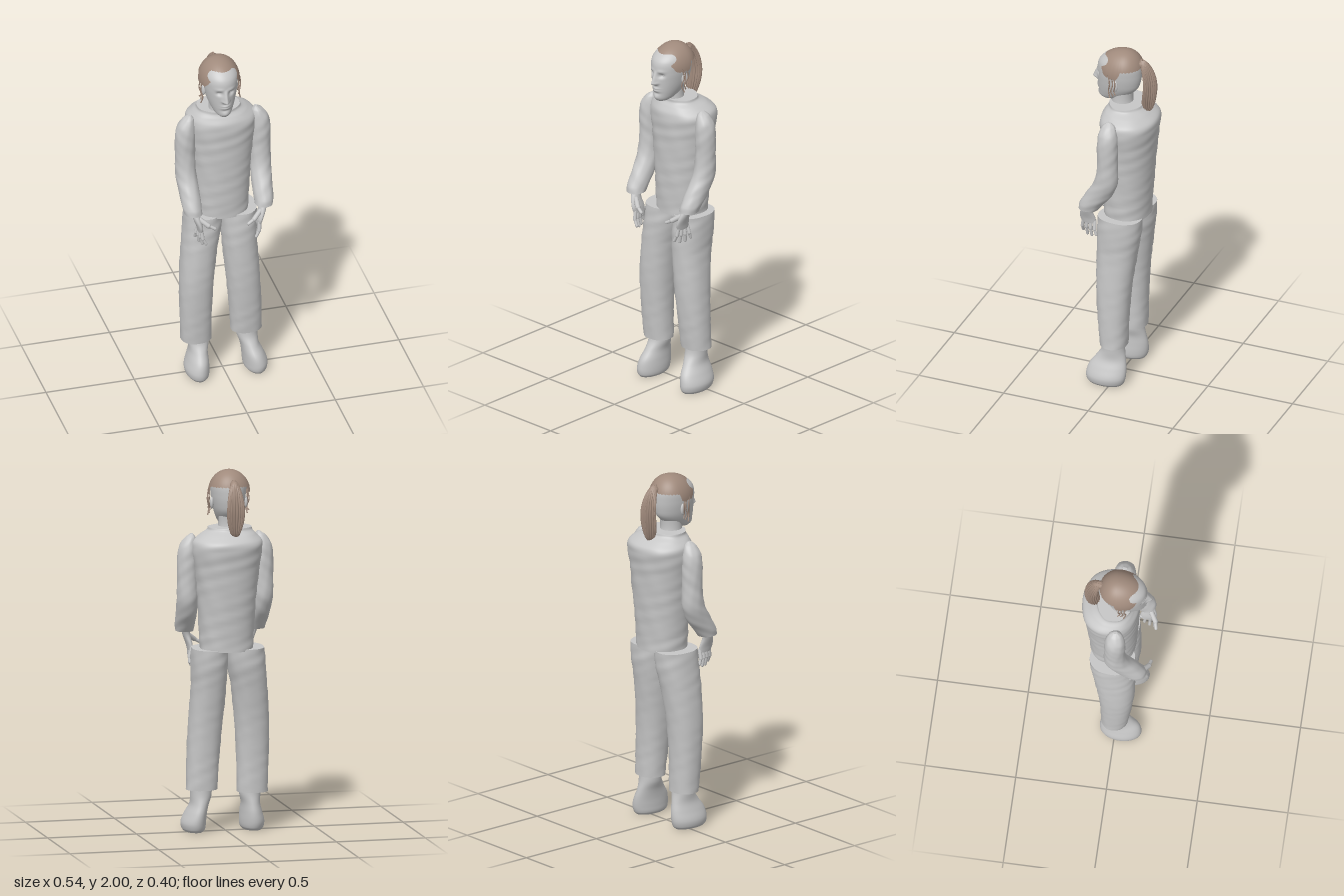
import * as THREE from 'three';

const grey = new THREE.MeshStandardMaterial({ color: 0xc6c6c6 });
grey.name = 'plain grey';
const brown = new THREE.MeshStandardMaterial({ color: 0xa08a7c, side: THREE.DoubleSide });
brown.name = 'hair brown';

// smooth value of column c between rows k and k+1 of a section list
function blend(rows, k, f, c) {
  const slope = (i) => {
    const a = rows[Math.max(i - 1, 0)], b = rows[Math.min(i + 1, rows.length - 1)];
    return (b[c] - a[c]) / (b[0] - a[0]);
  };
  const h = rows[k + 1][0] - rows[k][0], f2 = f * f, f3 = f2 * f;
  return (2 * f3 - 3 * f2 + 1) * rows[k][c] + (f3 - 2 * f2 + f) * h * slope(k)
    + (3 * f2 - 2 * f3) * rows[k + 1][c] + (f3 - f2) * h * slope(k + 1);
}

// closed body through horizontal oval sections [y, cx, cz, rx, rz], bottom to top
function loft(rows, { seg = 36, sub = 6, power = 1, shape = null } = {}) {
  const pos = [], idx = [], v = new THREE.Vector3();
  const ring = (k, f) => {
    const y = rows[k][0] + (rows[k + 1][0] - rows[k][0]) * f;
    const [cx, cz, rx, rz] = [1, 2, 3, 4].map((c) => blend(rows, k, f, c));
    for (let i = 0; i < seg; i++) {
      const a = (i / seg) * Math.PI * 2, s = Math.sin(a), c = Math.cos(a);
      v.set(cx + Math.max(rx, 0.0005) * Math.sign(s) * Math.abs(s) ** power, y,
        cz + Math.max(rz, 0.0005) * Math.sign(c) * Math.abs(c) ** power);
      if (shape) shape(v, a);
      pos.push(v.x, v.y, v.z);
    }
  };
  for (let k = 0; k < rows.length - 1; k++) for (let s = 0; s < sub; s++) ring(k, s / sub);
  ring(rows.length - 2, 1);
  const count = (rows.length - 1) * sub;
  for (let j = 0; j < count; j++) for (let i = 0; i < seg; i++) {
    const a = j * seg + i, b = j * seg + (i + 1) % seg;
    idx.push(a, b, b + seg, a, b + seg, a + seg);
  }
  // flat end caps on their own vertices
  for (const top of [false, true]) {
    const base = pos.length / 3, from = (top ? count : 0) * seg * 3;
    pos.push(...pos.slice(from, from + seg * 3));
    const r = rows[top ? rows.length - 1 : 0];
    pos.push(r[1], r[0], r[2]);
    for (let i = 0; i < seg; i++) {
      const a = base + i, b = base + (i + 1) % seg;
      idx.push(base + seg, top ? a : b, top ? b : a);
    }
  }
  return finish(pos, idx);
}

function finish(pos, idx) {
  const g = new THREE.BufferGeometry();
  g.setAttribute('position', new THREE.Float32BufferAttribute(pos, 3));
  g.setIndex(idx);
  g.computeVertexNormals();
  return g;
}

function add(parent, name, geometry, material = grey) {
  const m = new THREE.Mesh(geometry, material);
  m.name = name;
  parent.add(m);
  return m;
}

// rounded rod between two points
function rod(parent, name, a, b, r) {
  const p = new THREE.Vector3(...a), q = new THREE.Vector3(...b), d = q.clone().sub(p);
  const m = add(parent, name, new THREE.CapsuleGeometry(r, d.length(), 5, 10));
  m.position.copy(p).add(q).multiplyScalar(0.5);
  m.quaternion.setFromUnitVectors(new THREE.Vector3(0, 1, 0), d.normalize());
}

// soft cloth dents
const cloth = (size) => (v, a) => {
  const n = Math.sin(v.y * 47 + a * 3) * Math.sin(a * 5 - v.y * 21) + 0.5 * Math.sin(v.y * 90 - a * 4);
  v.x += Math.sin(a) * n * size;
  v.z += Math.cos(a) * n * size;
};

// facial relief pushed out of the front of the head
const bump = (d, w) => Math.exp(-((d / w) ** 2));
function face(v, a) {
  if (Math.cos(a) < 0.2) return;
  const x = Math.abs(v.x), y = v.y;
  const nose = y < 1.803 ? bump(y - 1.803, 0.011) : Math.max(0, 1 - (y - 1.803) / 0.07);
  v.z += 0.034 * nose * bump(x, 0.010 + 0.006 * nose)
    + 0.006 * bump(x - 0.015, 0.007) * bump(y - 1.8, 0.009)
    - 0.015 * bump(x - 0.033, 0.016) * bump(y - 1.848, 0.012)
    + 0.005 * bump(x - 0.033, 0.022) * bump(y - 1.872, 0.008)
    + 0.008 * bump(x, 0.022) * (bump(y - 1.769, 0.005) + bump(y - 1.755, 0.006))
    - 0.005 * bump(x, 0.025) * bump(y - 1.738, 0.007)
    + 0.005 * bump(x, 0.02) * bump(y - 1.715, 0.012);
}

// scalp hair: dome whose lower edge follows a hairline [angle, polar angle]
function hairCap() {
  const line = [[0, 46], [25, 52], [42, 72], [58, 91], [88, 92], [98, 71], [180, 70]];
  const edge = (deg) => {
    const k = Math.max(1, line.findIndex((p) => p[0] >= deg));
    const [a, b] = [line[k - 1], line[k]];
    return a[1] + (b[1] - a[1]) * (deg - a[0]) / (b[0] - a[0]);
  };
  const pos = [], idx = [], seg = 96, n = 20;
  for (let j = 0; j <= n; j++) for (let i = 0; i < seg; i++) {
    const a = (i / seg) * Math.PI * 2, deg = Math.min(i, seg - i) * 360 / seg;
    const p = (edge(Math.min(deg, 180)) + 1.5 * Math.sin(i * 2.3)) * Math.PI / 180 * (0.002 + 0.998 * (1 - j / n));
    const rz = Math.cos(a) > 0 ? 0.155 : 0.11, s = Math.sin(p);
    pos.push(0.115 * s * Math.sin(a), 1.87 + 0.13 * Math.cos(p), rz * s * Math.cos(a));
    if (j < n) {
      const q = j * seg + i, r = j * seg + (i + 1) % seg;
      idx.push(q, r, r + seg, q, r + seg, q + seg);
    }
  }
  return finish(pos, idx);
}

function buildHead() {
  const head = new THREE.Group();
  head.name = 'head';
  head.position.x = -0.023;
  add(head, 'neck', loft([[1.64, 0, 0.01, 0.066, 0.066], [1.7, 0, 0.015, 0.058, 0.06], [1.78, 0, 0.01, 0.058, 0.062]]));
  add(head, 'skull and face', loft([
    [1.69, 0, 0.095, 0.028, 0.04], [1.703, 0, 0.082, 0.044, 0.066], [1.73, 0, 0.06, 0.06, 0.092],
    [1.77, 0, 0.04, 0.076, 0.114], [1.81, 0, 0.033, 0.086, 0.122], [1.86, 0, 0.03, 0.094, 0.126],
    [1.92, 0, 0.027, 0.096, 0.121], [1.96, 0, 0.019, 0.077, 0.093], [1.983, 0, 0.012, 0.045, 0.053],
    [1.992, 0, 0.01, 0.002, 0.002]], { seg: 112, sub: 9, shape: face }));
  add(head, 'hair', hairCap(), brown);
  for (const s of [-1, 1]) {
    const eye = add(head, 'eye', new THREE.SphereGeometry(0.011, 16, 10));
    eye.position.set(s * 0.032, 1.848, 0.126);
    eye.scale.set(1.2, 0.7, 0.8);
    const ear = add(head, 'ear', new THREE.SphereGeometry(1, 18, 14));
    ear.position.set(s * 0.093, 1.815, 0.022);
    ear.scale.set(0.011, 0.034, 0.02);
    ear.rotation.y = -s * 0.35;
    // loose locks beside the ears
    for (let i = 0; i < 3; i++) {
      const z = 0.055 - i * 0.016, w = 0.006 * (i % 2);
      const lock = new THREE.CatmullRomCurve3([[0.106, 1.885, z], [0.113 - w, 1.83, z - 0.01],
        [0.103 + w, 1.785, z], [0.112 - w, 1.745 + i * 0.012, z - 0.012]]
        .map((p) => new THREE.Vector3(s * p[0], p[1], p[2])));
      add(head, 'lock', new THREE.TubeGeometry(lock, 16, 0.0035, 6), brown);
    }
  }
  // ponytail with combed ridges
  const ridges = (v, a) => {
    const k = 1 + 0.09 * Math.cos(a * 18);
    v.x *= k;
    v.z = -0.135 + (v.z + 0.135) * k;
  };
  add(head, 'ponytail', loft([[1.632, 0, -0.122, 0.01, 0.014], [1.67, 0, -0.133, 0.026, 0.03],
    [1.74, 0, -0.143, 0.043, 0.035], [1.81, 0, -0.148, 0.045, 0.034], [1.88, 0, -0.137, 0.036, 0.032],
    [1.935, 0, -0.118, 0.021, 0.024], [1.958, 0, -0.104, 0.008, 0.012]],
    { seg: 108, sub: 5, shape: ridges }), brown);
  const knot = add(head, 'hair tie', new THREE.SphereGeometry(0.022, 16, 12), brown);
  knot.position.set(0, 1.93, -0.1);
  return head;
}

function buildArm() {
  const arm = new THREE.Group();
  add(arm, 'sleeve', loft([[1.095, 0.2, 0.122, 0.05, 0.056], [1.13, 0.203, 0.105, 0.053, 0.066],
    [1.2, 0.206, 0.058, 0.056, 0.074], [1.29, 0.212, 0.014, 0.057, 0.066], [1.4, 0.213, 0.005, 0.055, 0.057],
    [1.5, 0.213, 0.006, 0.056, 0.058], [1.58, 0.209, 0.006, 0.05, 0.053], [1.63, 0.196, 0.006, 0.03, 0.036],
    [1.652, 0.188, 0.006, 0.008, 0.012]], { shape: cloth(0.0012) }));
  add(arm, 'palm', loft([[0.985, 0.165, 0.133, 0.014, 0.042], [1.02, 0.17, 0.14, 0.017, 0.045],
    [1.07, 0.185, 0.14, 0.021, 0.034], [1.12, 0.196, 0.122, 0.023, 0.028]], { seg: 24 }));
  for (let i = 0; i < 4; i++) {
    const z = 0.166 - i * 0.022, tip = 0.177 - i * 0.03, y = 0.905 + 0.007 * (i - 1.4) ** 2;
    const mid = [0.16 + i * 0.006, 0.952, (z + tip) / 2 + 0.003];
    rod(arm, 'finger', [0.165, 0.997, z], mid, 0.0105);
    rod(arm, 'fingertip', mid, [0.143 + i * 0.012, y, tip], 0.0085);
  }
  rod(arm, 'thumb base', [0.17, 1.065, 0.155], [0.13, 1.035, 0.182], 0.014);
  rod(arm, 'thumb', [0.13, 1.035, 0.182], [0.096, 1.016, 0.19], 0.0095);
  return arm;
}

export function createModel() {
  const model = new THREE.Group();
  model.name = 'standing figure';
  model.add(buildHead());

  // loose shirt with a flat collar opening
  add(model, 'shirt', loft([[1.01, 0.002, -0.03, 0.147, 0.126], [1.1, 0.002, -0.03, 0.15, 0.13],
    [1.3, 0.002, -0.034, 0.162, 0.141], [1.47, 0.002, -0.038, 0.18, 0.15], [1.57, 0.002, -0.042, 0.194, 0.157],
    [1.615, 0.0, -0.042, 0.188, 0.154], [1.65, -0.008, -0.03, 0.155, 0.123],
    [1.672, -0.018, -0.02, 0.125, 0.098], [1.688, -0.02, -0.017, 0.118, 0.094]],
    { seg: 64, sub: 8, power: 0.92, shape: cloth(0.0018) }));

  // trousers and shoes, one stance per side
  add(model, 'rightTrouserLeg', loft([[0.212, -0.15, -0.002, 0.084, 0.075], [0.4, -0.153, 0.005, 0.088, 0.085],
    [0.6, -0.149, 0.006, 0.094, 0.099], [0.8, -0.131, -0.006, 0.098, 0.114], [0.93, -0.112, -0.017, 0.104, 0.124],
    [1.02, -0.106, -0.022, 0.102, 0.123]], { power: 0.9, shape: cloth(0.0015) }));
  add(model, 'leftTrouserLeg', loft([[0.235, 0.134, -0.002, 0.086, 0.075], [0.4, 0.126, 0.005, 0.089, 0.085],
    [0.6, 0.112, 0.006, 0.093, 0.099], [0.8, 0.097, -0.006, 0.095, 0.114], [0.93, 0.096, -0.017, 0.099, 0.124],
    [1.02, 0.096, -0.022, 0.097, 0.123]], { power: 0.9, shape: cloth(0.0015) }));
  for (const [name, s, out] of [['rightShoe', -1, 0], ['leftShoe', 1, 0.018]]) {
    add(model, name, loft([[0, s * (0.155 + out), 0.035, 0.05, 0.094], [0.015, s * (0.155 + out), 0.034, 0.062, 0.107],
      [0.05, s * (0.155 + out), 0.031, 0.066, 0.114], [0.1, s * (0.149 + out * 0.7), 0.025, 0.058, 0.108],
      [0.15, s * (0.143 + out * 0.2), 0.012, 0.051, 0.086], [0.2, s * 0.138, 0.002, 0.058, 0.066],
      [0.26, s * 0.138, 0, 0.06, 0.06]]));
  }

  // arms: the right one is rebuilt with flipped faces
  const left = buildArm(), right = buildArm();
  left.name = 'leftArm';
  right.name = 'rightArm';
  right.scale.x = -1;
  model.add(left, right);
  return model;
}
